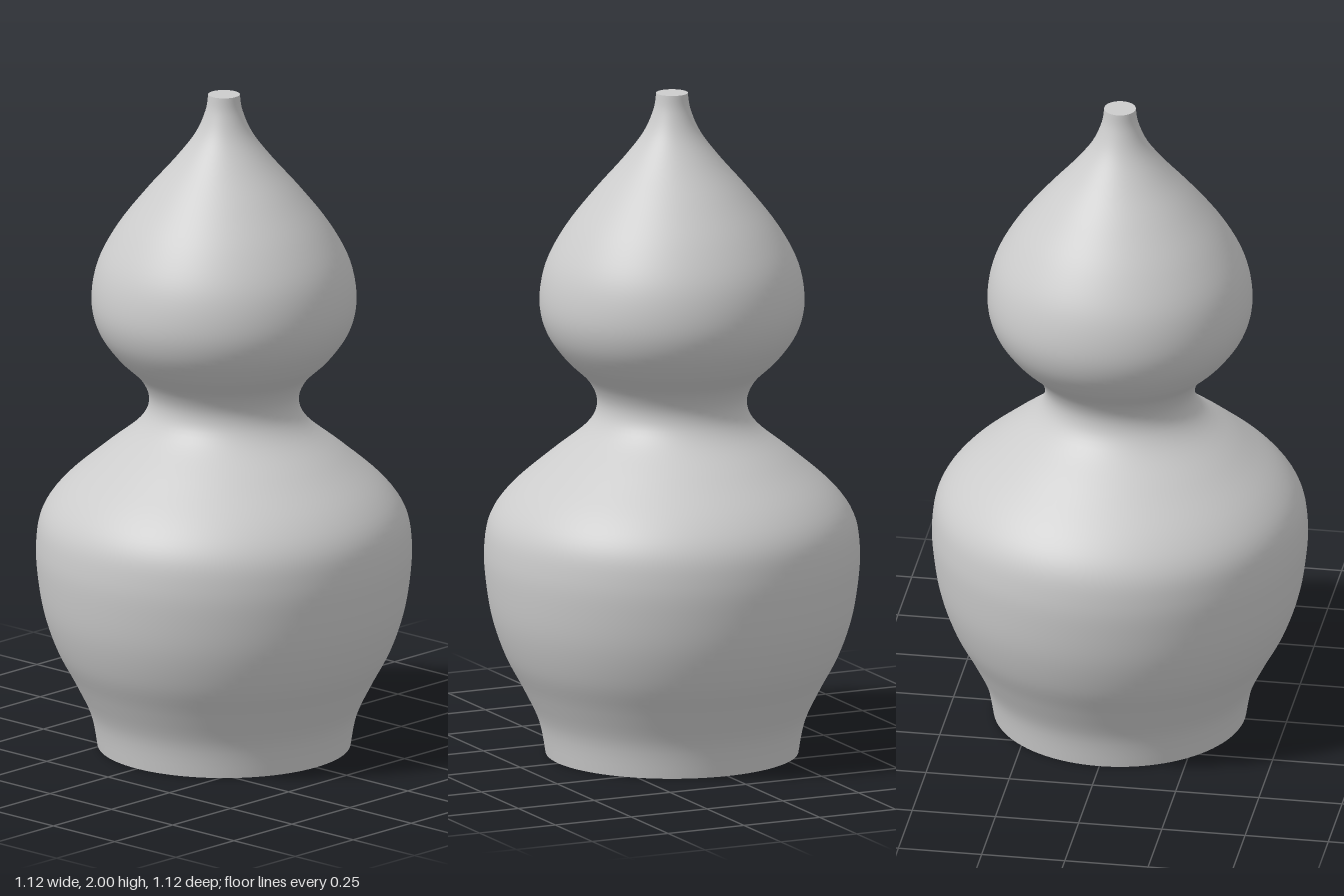
import * as THREE from 'three';

export function createModel() {
  const group = new THREE.Group();
  const material = new THREE.MeshStandardMaterial({ color: 0xcccccc });

  // Double-gourd silhouette as [radius, height], from foot to stem tip
  const profile = new THREE.SplineCurve([
    [0.375, 0], [0.395, 0.1], [0.442, 0.2], [0.495, 0.3], [0.533, 0.41],
    [0.552, 0.52], [0.557, 0.62], [0.54, 0.715], [0.48, 0.8], [0.365, 0.9],
    [0.255, 0.99], [0.222, 1.06], [0.247, 1.13], [0.318, 1.2], [0.373, 1.28],
    [0.393, 1.37], [0.375, 1.48], [0.317, 1.59], [0.232, 1.7], [0.145, 1.8],
    [0.085, 1.88], [0.055, 1.95], [0.047, 2],
  ].map(([r, y]) => new THREE.Vector2(r, y)));

  const body = new THREE.Mesh(new THREE.LatheGeometry(profile.getPoints(110), 96), material);
  body.name = 'gourdBody';
  group.add(body);

  // Flat discs closing the foot and the stem
  const addCap = (name, radius, y, tilt) => {
    const cap = new THREE.Mesh(new THREE.CircleGeometry(radius, 96), material);
    cap.name = name;
    cap.rotation.x = tilt;
    cap.position.y = y;
    group.add(cap);
  };
  addCap('base', 0.375, 0, Math.PI / 2);
  addCap('stemTip', 0.047, 2, -Math.PI / 2);

  return group;
}
